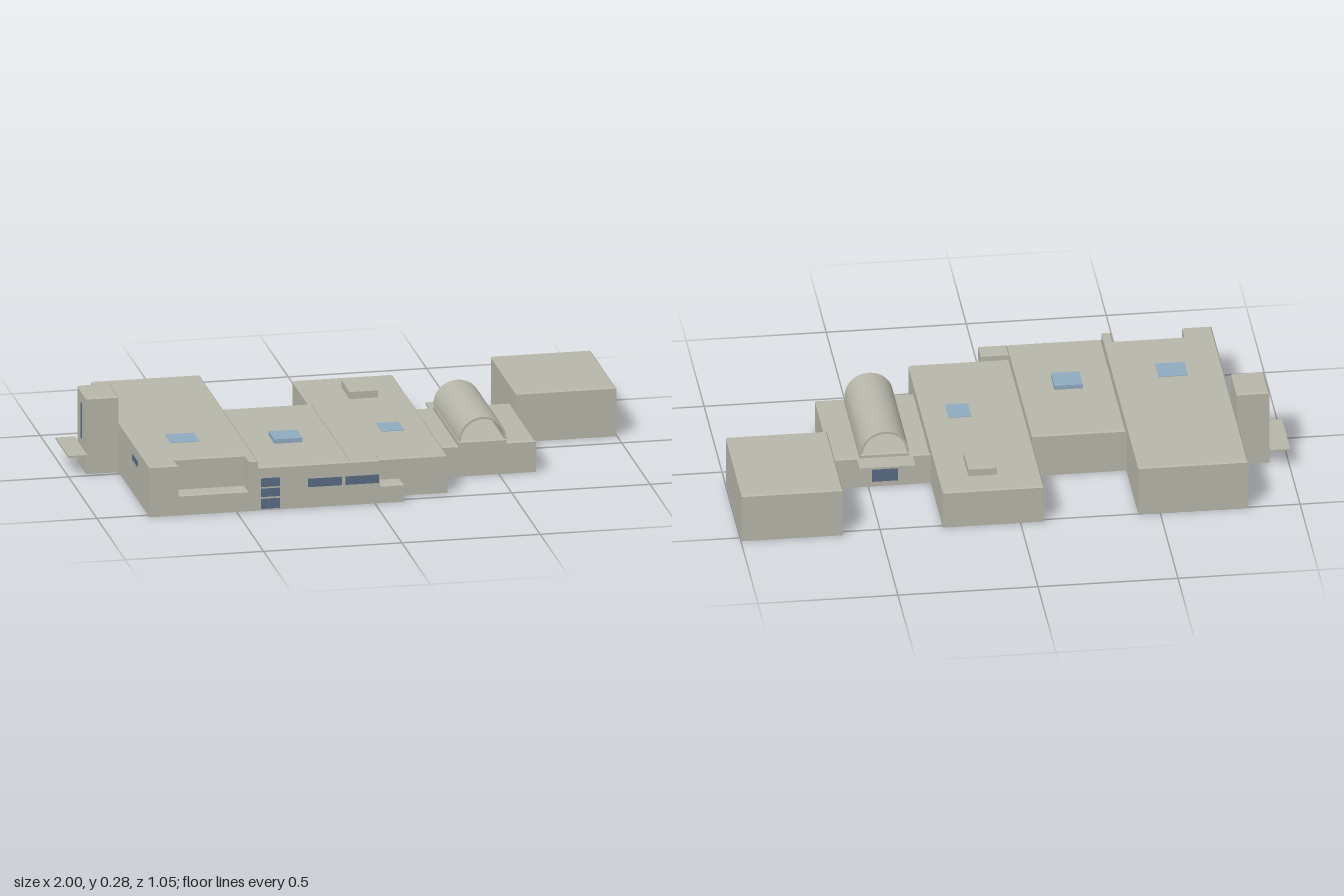
import * as THREE from 'three';

const concrete = new THREE.MeshStandardMaterial({ color: 0xb7b6aa, side: THREE.DoubleSide });
concrete.name = 'concrete';
const skylightGlass = new THREE.MeshStandardMaterial({ color: 0x8fabc0 });
skylightGlass.name = 'skylight glass';
const windowGlass = new THREE.MeshStandardMaterial({ color: 0x586c82 });
windowGlass.name = 'window glass';

// Footprint of a rectangle, counter-clockwise from above
const rect = (x0, x1, z0, z1) => [[x0, z0], [x0, z1], [x1, z1], [x1, z0]];

// Hollow building shell, open below, with a small chamfer round the roof
function shellGeometry(outline, height, bevel = 0.005) {
  const n = outline.length;
  const inward = (a, b) => {
    const dx = b[0] - a[0], dz = b[1] - a[1], len = Math.hypot(dx, dz);
    return [dz / len, -dx / len];
  };
  const inner = outline.map((p, i) => {
    const u = inward(outline[(i + n - 1) % n], p);
    const v = inward(p, outline[(i + 1) % n]);
    return [p[0] + bevel * (u[0] + v[0]), p[1] + bevel * (u[1] + v[1])];
  });
  const pos = [];
  const put = (p, y) => pos.push(p[0], y, p[1]);
  const band = (low, y0, high, y1) => {
    for (let i = 0; i < n; i++) {
      const j = (i + 1) % n;
      put(low[i], y0); put(low[j], y0); put(high[j], y1);
      put(low[i], y0); put(high[j], y1); put(high[i], y1);
    }
  };
  band(outline, 0, outline, height - bevel);
  band(outline, height - bevel, inner, height);
  const flat = inner.map(([x, z]) => new THREE.Vector2(x, -z));
  for (const tri of THREE.ShapeUtils.triangulateShape(flat, [])) {
    for (const k of tri) put(inner[k], height);
  }
  const geometry = new THREE.BufferGeometry();
  geometry.setAttribute('position', new THREE.Float32BufferAttribute(pos, 3));
  geometry.computeVertexNormals();
  return geometry;
}

export function createModel() {
  const model = new THREE.Group();
  model.name = 'buildingComplex';

  const add = (name, geometry, material) => {
    const mesh = new THREE.Mesh(geometry, material);
    mesh.name = name;
    model.add(mesh);
    return mesh;
  };
  const building = (name, outline, height) => add(name, shellGeometry(outline, height), concrete);
  const box = (name, material, x0, x1, y0, y1, z0, z1) =>
    add(name, new THREE.BoxGeometry(x1 - x0, y1 - y0, z1 - z0), material)
      .position.set((x0 + x1) / 2, (y0 + y1) / 2, (z0 + z1) / 2);

  // West hall with a recessed front terrace
  building('westHall', [
    [-0.815, -0.505], [-0.815, 0.525], [-0.71, 0.525], [-0.71, 0.455],
    [-0.455, 0.455], [-0.455, 0.525], [-0.422, 0.525], [-0.422, -0.505],
  ], 0.187);
  building('frontTerrace', rect(-0.71, -0.455, 0.455, 0.525), 0.075);

  // Central halls and the low front wing
  building('middleHall', rect(-0.422, -0.085, -0.17, 0.525), 0.161);
  building('frontWing', rect(-0.085, 0.018, 0.455, 0.525), 0.161);
  building('frontStep', rect(0.018, 0.106, 0.455, 0.525), 0.066);
  building('eastHall', rect(-0.085, 0.277, -0.515, 0.453), 0.141);
  box('roofHatch', concrete, 0.07, 0.172, 0.141, 0.167, -0.405, -0.26);

  // Detached-looking east block
  building('eastBlock', rect(0.635, 0.997, -0.527, -0.08), 0.182);

  // Side tower and its entrance canopy
  building('tower', rect(-0.932, -0.815, -0.175, -0.018), 0.282);
  box('towerCanopy', concrete, -1, -0.93, 0.07, 0.077, -0.225, 0);

  // Vaulted passage between two low aisles
  building('westAisle', rect(0.277, 0.355, -0.175, 0.283), 0.117);
  building('vaultBase', rect(0.355, 0.527, -0.175, 0.275), 0.13);
  building('eastAisle', rect(0.527, 0.633, -0.175, 0.275), 0.117);
  const arch = new THREE.Shape();
  arch.absarc(0, 0, 0.086, 0, Math.PI, false);
  arch.absarc(0, 0, 0.078, Math.PI, 0, true);
  const vault = new THREE.ExtrudeGeometry(arch, { depth: 0.45, bevelEnabled: false, curveSegments: 32 });
  add('vaultRoof', vault, concrete).position.set(0.441, 0.13, -0.175);
  box('rearCanopy', concrete, 0.342, 0.541, 0.107, 0.115, -0.25, -0.175);

  // Skylights
  box('westSkylight', skylightGlass, -0.685, -0.58, 0.184, 0.189, 0.165, 0.265);
  box('middleSkylight', skylightGlass, -0.31, -0.208, 0.161, 0.177, 0.165, 0.265);
  box('eastSkylight', skylightGlass, 0.105, 0.185, 0.138, 0.143, 0.04, 0.14);

  // Front windows
  for (const [y0, y1] of [[0.006, 0.043], [0.05, 0.081], [0.087, 0.119]]) {
    box('stairWindow', windowGlass, -0.412, -0.343, y0, y1, 0.522, 0.527);
  }
  for (const x of [-0.242, -0.107]) {
    box('ribbonWindow', windowGlass, x, x + 0.122, 0.076, 0.107, 0.522, 0.527);
  }

  // Side and rear windows
  box('sideDoorWindow', windowGlass, -0.818, -0.813, 0.06, 0.16, -0.235, -0.19);
  box('sideSlitWindow', windowGlass, -0.818, -0.813, 0.125, 0.145, 0.235, 0.32);
  box('towerSlitWindow', windowGlass, -0.935, -0.93, 0.11, 0.24, -0.107, -0.09);
  box('rearDoorWindow', windowGlass, 0.395, 0.487, 0.02, 0.09, -0.178, -0.173);

  return model;
}
